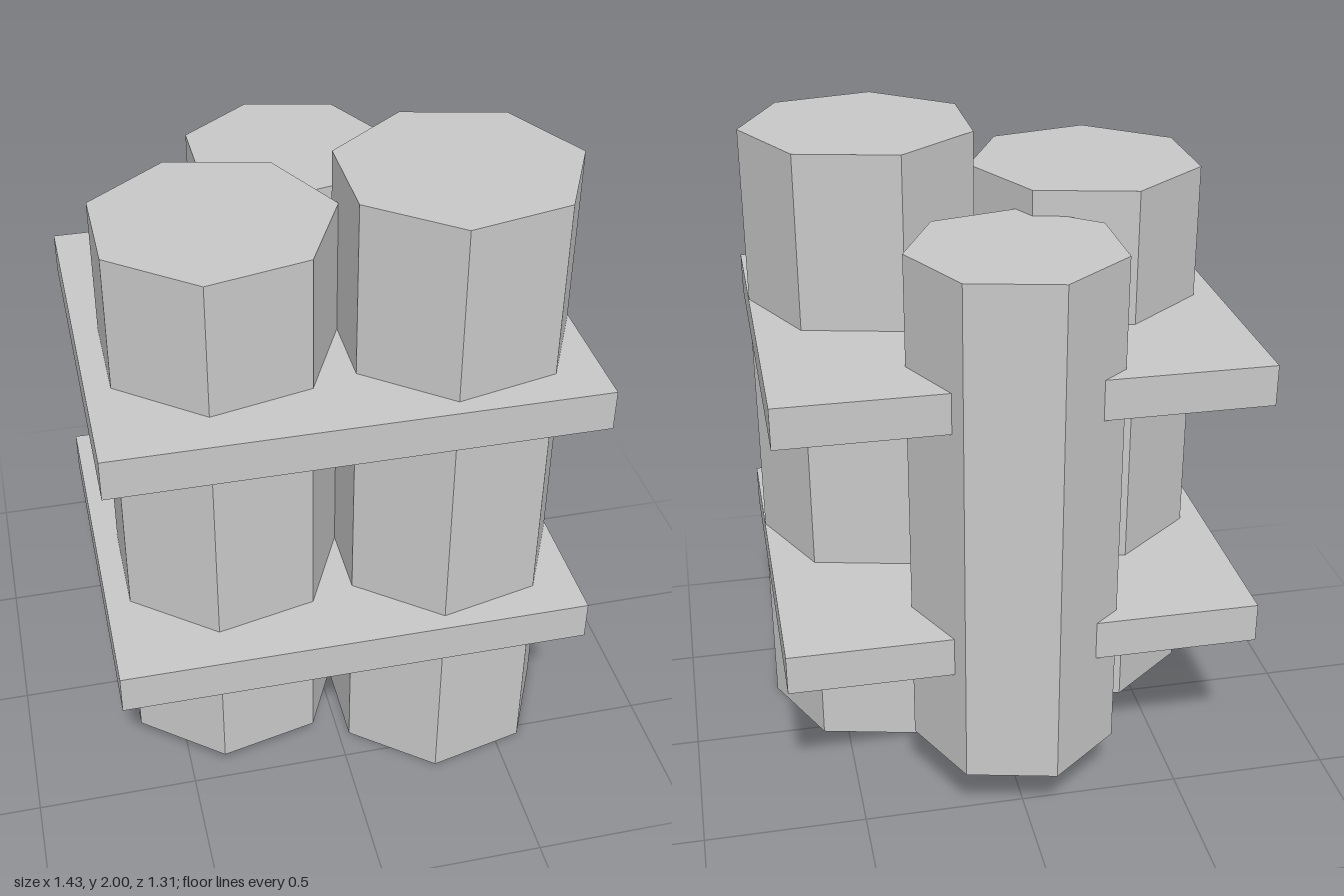
import * as THREE from 'three';

export function createModel() {
  const group = new THREE.Group();
  const grey = new THREE.MeshStandardMaterial({ color: 0xc8c8c8 });
  grey.name = 'plain grey';
  grey.flatShading = true;

  // Seven-sided columns, each with one corner pointing to +x
  const columns = [
    ['leftColumn', 0.357, 0.253, 0.358, 0, 2],
    ['rightColumn', -0.322, 0.172, 0.358, 0.125, 1.877],
    ['backColumn', -0.002, -0.345, 0.319, 0.2, 1.8],
  ];
  for (const [name, x, z, radius, bottom, top] of columns) {
    const geometry = new THREE.CylinderGeometry(radius, radius, top - bottom, 7, 1, false, Math.PI / 2);
    const column = new THREE.Mesh(geometry, grey);
    column.name = name;
    column.position.set(x, (bottom + top) / 2, z);
    group.add(column);
  }

  // Flat plates crossing the columns
  for (const [name, y] of [['lowerPlate', 0.602], ['upperPlate', 1.402]]) {
    const plate = new THREE.Mesh(new THREE.BoxGeometry(1.435, 0.125, 1.2), grey);
    plate.name = name;
    plate.position.set(-0.001, y, 0.055);
    group.add(plate);
  }

  return group;
}
